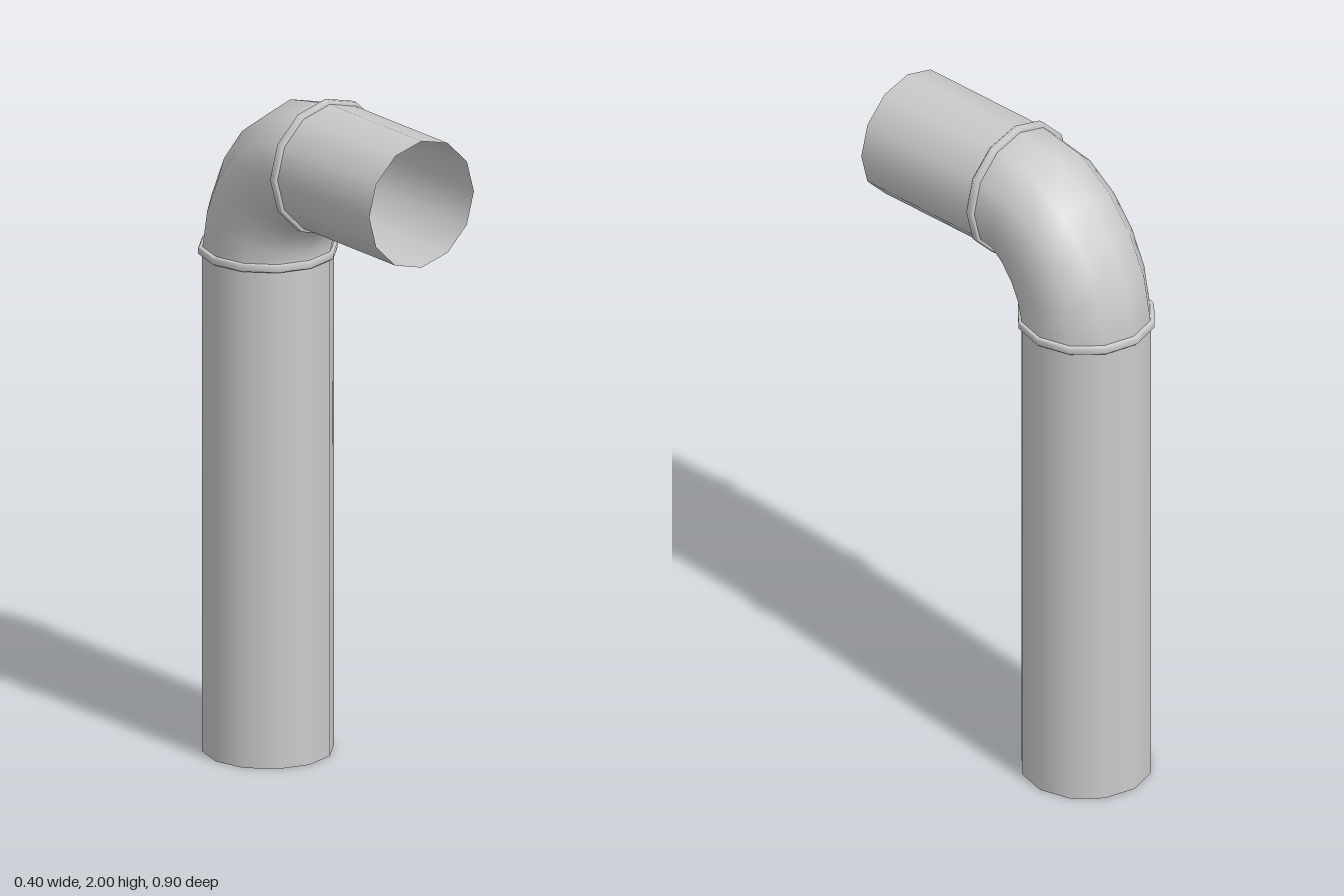
import * as THREE from 'three';

const R = 0.188, SIDES = 12, AXIS_Z = -0.25, AXIS_Y = 1.802;
const JOINT_Y = 1.49, JOINT_Z = 0.02, FRONT_Z = 0.45;

// Centre line of the bend, from horizontal to vertical: [z, y, turn in degrees]
const BEND = [
  [JOINT_Z, AXIS_Y, 0], [-0.073, 1.785, 23], [-0.139, 1.736, 43],
  [-0.193, 1.667, 58], [-0.23, 1.587, 73.5], [AXIS_Z, JOINT_Y, 90],
];

const openTube = (length, rows = 1) =>
  new THREE.CylinderGeometry(R, R, length, SIDES, rows, true);

// Sweep the rows of a straight tube along the bend
function elbowGeometry() {
  const geo = openTube(1, BEND.length - 1);
  const pos = geo.attributes.position, nor = geo.attributes.normal;
  for (let i = 0; i < pos.count; i++) {
    const [cz, cy, deg] = BEND[Math.floor(i / (SIDES + 1))];
    const a = THREE.MathUtils.degToRad(deg);
    const x = pos.getX(i), d = pos.getZ(i);
    const oy = -d * Math.cos(a), oz = d * Math.sin(a);
    pos.setXYZ(i, x, cy + oy, cz + oz);
    nor.setXYZ(i, x / R, oy / R, oz / R);
  }
  return geo;
}

// Raised band with softened edges, around the y axis
function collarGeometry() {
  const profile = [
    [0.184, -0.012], [0.195, -0.012], [0.199, -0.008],
    [0.199, 0.008], [0.195, 0.012], [0.184, 0.012],
  ].map(([r, y]) => new THREE.Vector2(r, y));
  return new THREE.LatheGeometry(profile, SIDES);
}

export function createModel() {
  const group = new THREE.Group();
  const material = new THREE.MeshStandardMaterial({ color: 0xcccccc, side: THREE.DoubleSide });

  function add(name, geometry, y, z, tilt = 0) {
    const mesh = new THREE.Mesh(geometry, material);
    mesh.name = name;
    mesh.position.set(0, y, z);
    mesh.rotation.x = tilt;
    group.add(mesh);
  }

  // Straight runs, open at both ends
  add('verticalPipe', openTube(JOINT_Y), JOINT_Y / 2, AXIS_Z);
  add('outletPipe', openTube(FRONT_Z - JOINT_Z), AXIS_Y, (FRONT_Z + JOINT_Z) / 2, Math.PI / 2);

  // Bend and the collars at its two joints
  add('elbow', elbowGeometry(), 0, 0);
  add('lowerCollar', collarGeometry(), JOINT_Y, AXIS_Z);
  add('upperCollar', collarGeometry(), AXIS_Y, JOINT_Z, Math.PI / 2);

  return group;
}
